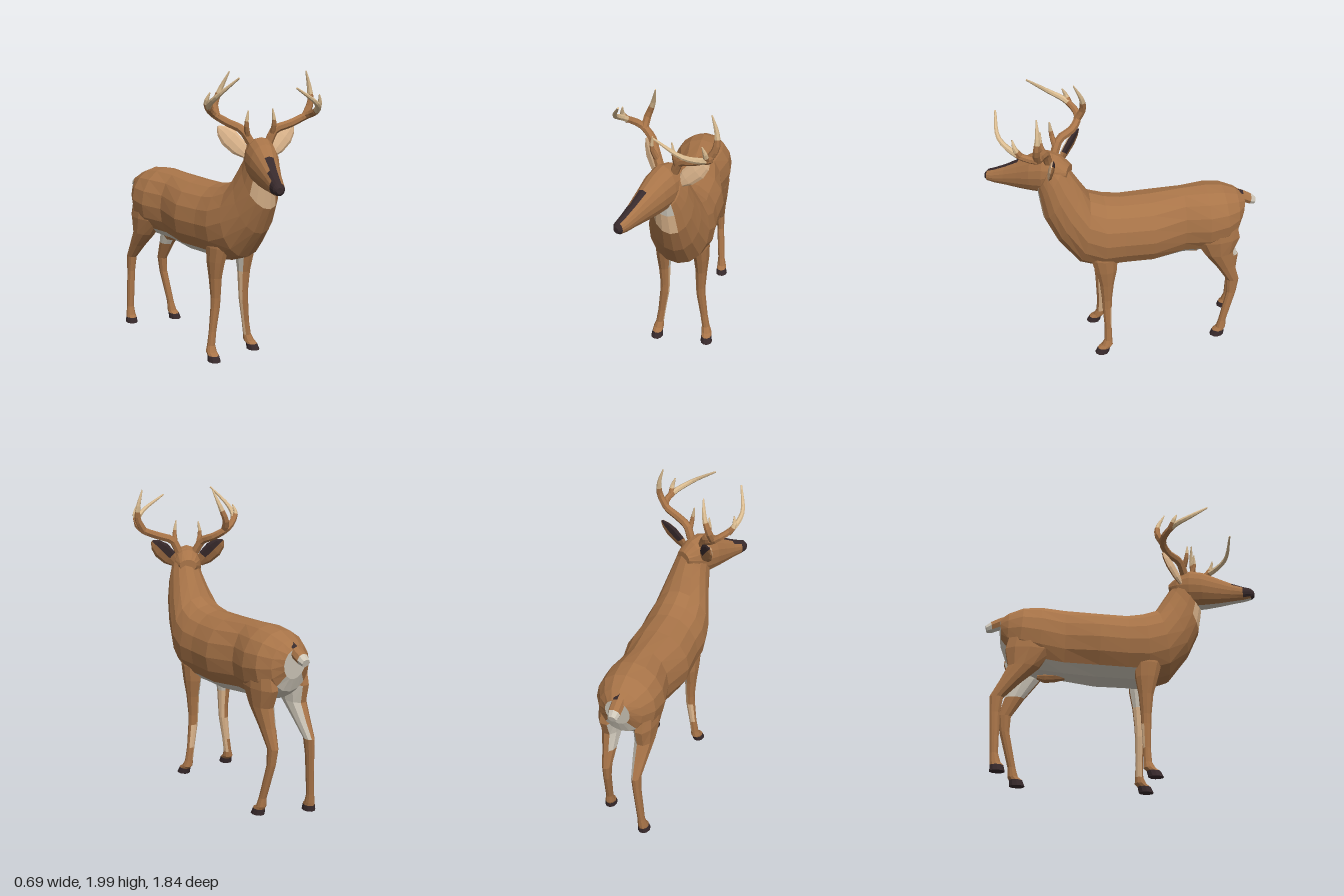
import * as THREE from 'three';

const V = (x, y, z) => new THREE.Vector3(x, y, z);
const paint = (name, color) => {
  const m = new THREE.MeshStandardMaterial({ color });
  m.name = name;
  return m;
};
const MATS = [
  paint('brown coat', 0xa87448), paint('pale fur', 0xcfc8ba), paint('tan fur', 0xdcb58c),
  paint('dark horn', 0x382a2c), paint('ivory', 0xd9bb90),
];
const [BROWN, PALE, TAN, DARK, IVORY] = [0, 1, 2, 3, 4];
const CX = 0.033; // body midline

// Faceted skin over rings { c, u, v } where u x v points along the loft.
// pick(centre, normal, ring, side) chooses the colour of each face.
function loft(name, rings, n, pick) {
  const buckets = MATS.map(() => []);
  const pts = rings.map(({ c, u, v }) => Array.from({ length: n }, (_, j) => {
    const a = (j / n) * Math.PI * 2;
    return c.clone().addScaledVector(u, Math.cos(a)).addScaledVector(v, Math.sin(a));
  }));
  const tri = (m, ...p) => p.forEach((q) => buckets[m].push(q.x, q.y, q.z));
  const quad = (a, b, c, d, i, j) => {
    const mid = a.clone().add(b).add(c).add(d).multiplyScalar(0.25);
    const nor = c.clone().sub(a).cross(d.clone().sub(b)).normalize();
    const m = pick(mid, nor, i, j);
    tri(m, a, b, c);
    tri(m, a, c, d);
  };
  const last = rings.length - 1;
  for (let j = 0; j < n; j++) {
    const k = (j + 1) % n;
    for (let i = 0; i < last; i++) quad(pts[i][j], pts[i][k], pts[i + 1][k], pts[i + 1][j], i, j);
    tri(pick(rings[0].c, V(0, 0, -1), -1, j), rings[0].c, pts[0][k], pts[0][j]);
    tri(pick(rings[last].c, V(0, 0, 1), last, j), rings[last].c, pts[last][j], pts[last][k]);
  }
  const geo = new THREE.BufferGeometry();
  geo.setAttribute('position', new THREE.Float32BufferAttribute(buckets.flat(), 3));
  let start = 0;
  buckets.forEach((b, m) => {
    if (b.length) geo.addGroup(start, b.length / 3, m);
    start += b.length / 3;
  });
  geo.computeVertexNormals();
  const mesh = new THREE.Mesh(geo, MATS);
  mesh.name = name;
  return mesh;
}

// Upright ring from a top and a bottom point
const hoop = (x, ty, tz, by, bz, hw) => ({
  c: V(x, (ty + by) / 2, (tz + bz) / 2), u: V(hw, 0, 0), v: V(0, (ty - by) / 2, (tz - bz) / 2),
});

// Tapering horn along a smooth curve, ivory from ring 'from' on
function horn(name, points, r0, r1, seg, from) {
  const curve = new THREE.CatmullRomCurve3(points.map((p) => V(...p)));
  const f = curve.computeFrenetFrames(seg);
  const rings = f.normals.map((nrm, i) => {
    const r = THREE.MathUtils.lerp(r0, r1, (i / seg) ** 1.8);
    return {
      c: curve.getPointAt(i / seg), u: nrm.clone().multiplyScalar(r),
      v: f.binormals[i].clone().multiplyScalar(r),
    };
  });
  return loft(name, rings, 7, (p, n, i) => (i >= from ? IVORY : BROWN));
}

function torso() {
  const rings = [
    [CX, 1.12, -0.82, 0.92, -0.8, 0.085], [CX, 1.165, -0.76, 0.83, -0.765, 0.15],
    [CX, 1.205, -0.66, 0.77, -0.69, 0.205], [CX, 1.22, -0.54, 0.72, -0.55, 0.215],
    [CX, 1.215, -0.38, 0.71, -0.38, 0.175], [CX, 1.2, -0.15, 0.69, -0.15, 0.23],
    [CX, 1.2, 0.05, 0.69, 0.05, 0.218], [CX, 1.22, 0.16, 0.685, 0.2, 0.225],
    [CX, 1.26, 0.26, 0.74, 0.35, 0.205], [CX, 1.36, 0.32, 0.93, 0.49, 0.165],
    [0.027, 1.44, 0.37, 1.11, 0.57, 0.135], [0.015, 1.52, 0.42, 1.25, 0.59, 0.115],
    [0.01, 1.57, 0.49, 1.33, 0.6, 0.08],
  ].map((r) => hoop(...r));
  return loft('torsoAndNeck', rings, 16, (p, n, i, j) => {
    if (i === -1) return PALE; // rump
    if (i <= 6 && j >= 10 && j <= 13) return PALE; // belly and between the thighs
    if (i >= 10 && j >= 9 && j <= 12) return i === 10 ? TAN : PALE; // throat
    return BROWN;
  });
}

// Leg rows: y, z, half width, half depth, distance from midline
function leg(name, side, rows, pickInner) {
  const rings = rows.map(([y, z, rx, rz, off]) => ({
    c: V(CX + side * off, y, z), u: V(rx, 0, 0), v: V(0, 0, rz),
  }));
  return loft(name, rings, 10, (p, n) => (p.y < 0.045 ? DARK : pickInner(p.y, -n.x * side, n.z)));
}
const frontInner = (y, inward, nz) => {
  if (y > 0.12 && y < 0.85 && inward > 0.4 && nz < 0.5) return y > 0.62 ? PALE : TAN;
  return y > 0.18 && y < 0.4 && nz < -0.6 ? TAN : BROWN;
};
const hindInner = (y, inward) => (y > 0.55 && y < 0.85 && inward > 0.5 ? PALE : BROWN);

const FRONT_LEG = [
  [0.98, 0.2, 0.04, 0.08, 0.12], [0.8, 0.185, 0.066, 0.095, 0.123], [0.7, 0.175, 0.055, 0.078, 0.13],
  [0.58, 0.17, 0.042, 0.05, 0.13], [0.44, 0.17, 0.034, 0.036, 0.127], [0.37, 0.17, 0.033, 0.033, 0.13],
  [0.2, 0.168, 0.027, 0.025, 0.152], [0.1, 0.17, 0.028, 0.028, 0.167], [0.06, 0.18, 0.036, 0.04, 0.174],
  [0.04, 0.205, 0.036, 0.045, 0.178], [0, 0.22, 0.042, 0.05, 0.181],
];
const THIGH = [[1.1, -0.6, 0.03, 0.08, 0.12], [0.97, -0.61, 0.065, 0.14, 0.125], [0.85, -0.615, 0.078, 0.165, 0.122]];
const RIGHT_HIND = [
  ...THIGH, [0.73, -0.65, 0.066, 0.105, 0.122], [0.62, -0.735, 0.05, 0.07, 0.12],
  [0.51, -0.815, 0.032, 0.046, 0.12], [0.4, -0.82, 0.027, 0.035, 0.125], [0.12, -0.81, 0.025, 0.027, 0.145],
  [0.06, -0.8, 0.033, 0.036, 0.15], [0.04, -0.79, 0.036, 0.045, 0.152], [0, -0.785, 0.042, 0.05, 0.155],
];
const LEFT_HIND = [
  ...THIGH, [0.73, -0.63, 0.066, 0.105, 0.122], [0.6, -0.69, 0.048, 0.068, 0.12],
  [0.47, -0.75, 0.032, 0.045, 0.12], [0.36, -0.745, 0.027, 0.034, 0.125], [0.12, -0.685, 0.025, 0.027, 0.145],
  [0.06, -0.675, 0.033, 0.036, 0.15], [0.04, -0.655, 0.036, 0.045, 0.152], [0, -0.645, 0.042, 0.052, 0.155],
];

// Leaf-shaped ear: light inside, brown back, dark upper rim
function ear(name, side) {
  const base = V(side * 0.085, 1.46, 0.03), tip = V(side * 0.25, 1.635, -0.05);
  const d = tip.clone().sub(base).setZ(0).normalize();
  const rings = [[0, 0.028], [0.25, 0.055], [0.6, 0.062], [0.85, 0.042], [1, 0.01]].map(([t, w]) => ({
    c: base.clone().lerp(tip, t), u: V(-d.y * w, d.x * w, 0), v: V(0, 0, 0.006 + w * 0.25),
  }));
  const rim = side > 0 ? [6, 7] : [4, 5];
  return loft(name, rings, 8, (p, n, i, j) => (j < 4 ? TAN : i > 0 && rim.includes(j) ? DARK : BROWN));
}

// The two antlers differ slightly, so each has its own paths (x is mirrored for the right)
const LEFT_ANTLER = {
  mainBeam: [[0.06, 1.54, 0.05], [0.1, 1.62, 0.05], [0.2, 1.655, 0.045], [0.31, 1.7, 0.03],
    [0.35, 1.74, 0.12], [0.3, 1.81, 0.27], [0.148, 1.915, 0.35]],
  tallTine: [[0.3, 1.69, 0.03], [0.345, 1.78, 0.01], [0.34, 1.87, 0], [0.31, 1.985, 0.012]],
  middleTine: [[0.345, 1.73, 0.11], [0.365, 1.79, 0.14], [0.355, 1.85, 0.16]],
  browTine: [[0.08, 1.59, 0.055], [0.085, 1.67, 0.085], [0.072, 1.76, 0.09]],
};
const RIGHT_ANTLER = {
  mainBeam: [[0.06, 1.54, 0.05], [0.11, 1.62, 0.03], [0.19, 1.66, -0.03], [0.28, 1.715, -0.04],
    [0.335, 1.78, 0.05], [0.31, 1.85, 0.17], [0.19, 1.975, 0.27]],
  tallTine: [[0.26, 1.7, -0.04], [0.265, 1.77, -0.08], [0.23, 1.86, -0.09], [0.175, 1.985, -0.055]],
  middleTine: [[0.33, 1.76, 0.03], [0.35, 1.81, 0.06], [0.33, 1.87, 0.08]],
  browTine: [[0.08, 1.59, 0.055], [0.095, 1.66, 0.08], [0.085, 1.75, 0.085]],
};

function antler(name, s, paths) {
  const g = new THREE.Group();
  g.name = name;
  const styles = {
    mainBeam: [0.029, 0.006, 20, 11], tallTine: [0.025, 0.004, 8, 4],
    middleTine: [0.021, 0.004, 5, 2], browTine: [0.019, 0.004, 5, 3],
  };
  for (const [part, style] of Object.entries(styles)) {
    g.add(horn(part, paths[part].map(([x, y, z]) => [s * x, y, z]), ...style));
  }
  return g;
}

// Head is modelled facing +z, then turned to the animal's right
function head() {
  const g = new THREE.Group();
  g.name = 'head';
  const rings = [
    [-0.07, 1.5, 1.42, 0.06], [0, 1.56, 1.33, 0.095], [0.09, 1.58, 1.28, 0.105], [0.18, 1.55, 1.275, 0.097],
    [0.28, 1.49, 1.275, 0.075], [0.38, 1.43, 1.28, 0.056], [0.46, 1.39, 1.282, 0.046],
    [0.51, 1.37, 1.29, 0.038], [0.53, 1.345, 1.305, 0.02],
  ].map(([z, t, b, w]) => hoop(0, t, z, b, z, w));
  g.add(loft('skullAndMuzzle', rings, 16, (p, n, i, j) => {
    const bridge = (i === 4 && (j === 3 || j === 4)) || (i >= 5 && j >= 3 && j <= 5);
    const nostril = i === 6 && j >= 3 && j <= 9;
    if (i >= 7 || bridge || nostril) return DARK;
    return (j === 11 || j === 12) && i >= 1 ? PALE : BROWN;
  }));
  g.add(ear('leftEar', 1), ear('rightEar', -1));
  g.add(antler('leftAntler', 1, LEFT_ANTLER), antler('rightAntler', -1, RIGHT_ANTLER));
  g.position.set(0.02, 0, 0.45);
  g.rotation.y = -0.49;
  return g;
}

function tail() {
  const rows = [[-0.915, 1.07, 1.02, 0.03], [-0.88, 1.1, 1.025, 0.042], [-0.82, 1.135, 1.05, 0.045], [-0.74, 1.165, 1.06, 0.045]];
  const rings = rows.map(([z, t, b, w]) => hoop(0.025, t, z, b, z + 0.015, w));
  return loft('tail', rings, 8, (p, n, i, j) => {
    if (i === 2 && j === 1) return DARK;
    return i <= 0 || j === 5 || j === 6 ? PALE : BROWN;
  });
}

export function createModel() {
  const deer = new THREE.Group();
  deer.name = 'deer';
  deer.add(torso(), head(), tail());
  for (const [label, s, hind] of [['left', 1, LEFT_HIND], ['right', -1, RIGHT_HIND]]) {
    deer.add(leg(label + 'FrontLeg', s, FRONT_LEG, frontInner), leg(label + 'HindLeg', s, hind, hindInner));
  }
  // Small bulge under the belly
  const bulge = [[-0.55, 0.74, 0.7, 0.02], [-0.5, 0.75, 0.68, 0.04], [-0.43, 0.75, 0.69, 0.04], [-0.36, 0.74, 0.71, 0.02]];
  deer.add(loft('bellyBulge', bulge.map(([z, t, b, w]) => hoop(CX, t, z, b, z, w)), 8, () => BROWN));
  return deer;
}
